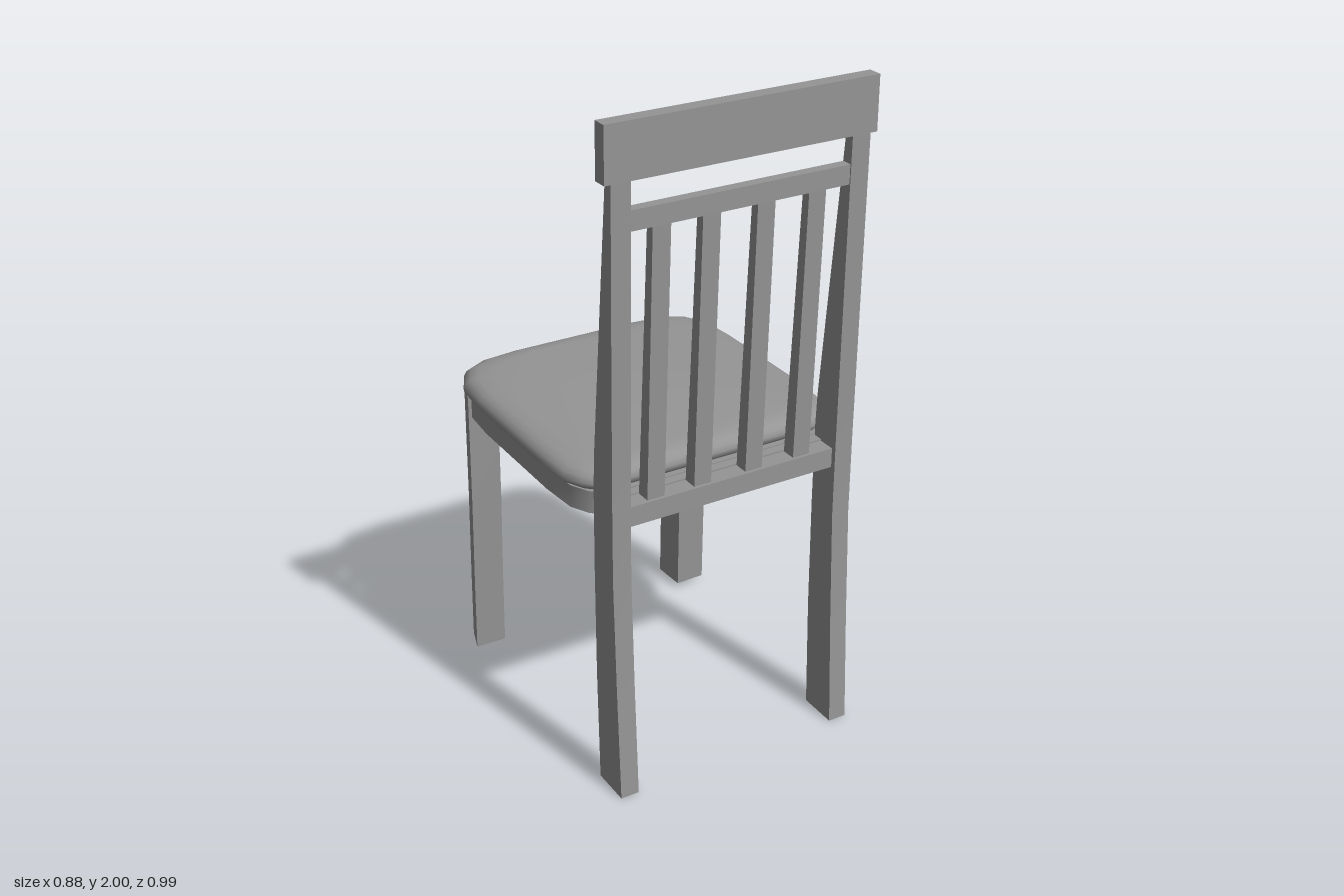
import * as THREE from 'three';
import { toCreasedNormals } from 'three/addons/utils/BufferGeometryUtils.js';

const material = new THREE.MeshStandardMaterial({ color: 0x959595 });

// Solid through horizontal convex sections [{ y, pts: [[x, z], ...] }], listed from the bottom up
function loft(sections, crease = 0.4) {
  const n = sections[0].pts.length;
  const pos = [], idx = [];
  for (const { y, pts } of sections) {
    const area = pts.reduce((s, p, i) => {
      const q = pts[(i + 1) % n];
      return s + p[0] * q[1] - q[0] * p[1];
    }, 0);
    const ring = area > 0 ? [...pts].reverse() : pts;
    for (const [x, z] of ring) pos.push(x, y, z);
  }
  for (let k = 0; k < sections.length - 1; k++) {
    for (let i = 0; i < n; i++) {
      const a = k * n + i, b = k * n + (i + 1) % n;
      idx.push(a, b, b + n, a, b + n, a + n);
    }
  }
  const top = (sections.length - 1) * n;
  for (let i = 1; i < n - 1; i++) {
    idx.push(0, i + 1, i);
    idx.push(top, top + i, top + i + 1);
  }
  const geo = new THREE.BufferGeometry();
  geo.setAttribute('position', new THREE.Float32BufferAttribute(pos, 3));
  geo.setIndex(idx);
  return toCreasedNormals(geo, crease);
}

const rect = (x0, x1, z0, z1) => [[x0, z0], [x1, z0], [x1, z1], [x0, z1]];

export function createModel() {
  const group = new THREE.Group();
  const add = (name, geo) => {
    const mesh = new THREE.Mesh(geo, material);
    mesh.name = name;
    group.add(mesh);
  };
  const bar = (name, x0, x1, y0, y1, z0, z1) => {
    const geo = new THREE.BoxGeometry(x1 - x0, y1 - y0, z1 - z0);
    add(name, geo.translate((x0 + x1) / 2, (y0 + y1) / 2, (z0 + z1) / 2));
  };

  // Rounded square seat outline, mirrored across x
  const half = [[0.21, -0.495], [0.33, -0.482], [0.39, -0.45], [0.43, -0.37], [0.44, -0.25],
    [0.44, 0.13], [0.43, 0.255], [0.402, 0.312], [0.375, 0.338], [0.33, 0.353]];
  const outline = [...half, ...half.map(([x, z]) => [-x, z]).reverse()];
  const zMid = -0.071;
  const inset = (d) => outline.map(([x, z]) =>
    [x * (1 - d / 0.44), zMid + (z - zMid) * (1 - d / 0.424)]);

  // Cushion with a bullnose edge
  const cushion = [[0.914, 0.03], [0.921, 0.012], [0.932, 0.002], [0.945, 0],
    [0.96, 0.006], [0.972, 0.018], [0.98, 0.036], [0.985, 0.075]];
  add('cushion', loft(cushion.map(([y, d]) => ({ y, pts: inset(d) })), 0.9));

  // Seat frame under the cushion, reaching back to the posts
  const frame = inset(0.018).map(([x, z]) => [x, z > 0 ? z + 0.021 : z]);
  add('seatFrame', loft([0.85, 0.918].map((y) => ({ y, pts: frame })), 0.6));

  for (const s of [1, -1]) {
    const side = s > 0 ? 'left' : 'right';

    // Back posts: splayed foot, then tapering toward the top; [y, front z, back z]
    const post = [[0, 0.37, 0.492], [0.35, 0.358, 0.472], [0.7, 0.354, 0.456], [0.95, 0.355, 0.456],
      [1.05, 0.36, 0.457], [1.4, 0.393, 0.46], [1.85, 0.436, 0.465]];
    add(side + 'BackPost', loft(post.map(([y, z0, z1]) =>
      ({ y, pts: rect(s * 0.333, s * 0.39, z0, z1) })), 0.2));

    // Seat-end legs: chamfered outer corner, curving outward at the foot; [y, z shift]
    const foot = [[0.32, -0.465], [0.385, -0.457], [0.397, -0.438], [0.422, -0.36], [0.325, -0.357]];
    const sweep = [[0.018, -0.02], [0.25, -0.015], [0.55, -0.005], [0.916, 0]];
    add(side + 'SeatLeg', loft(sweep.map(([y, dz]) =>
      ({ y, pts: foot.map(([x, z]) => [s * x, z + dz]) })), 0.2));
  }

  // Horizontal rails of the backrest
  bar('topRail', -0.413, 0.404, 1.845, 2, 0.43, 0.474);
  bar('crossRail', -0.34, 0.34, 1.707, 1.763, 0.428, 0.46);
  bar('lowerRail', -0.34, 0.34, 0.85, 0.91, 0.385, 0.44);
  bar('seatBackStrip', -0.335, 0.335, 0.85, 0.915, 0.34, 0.385);

  // Leaning slats
  [-0.24, -0.092, 0.074, 0.233].forEach((x, i) => {
    add('slat' + (i + 1), loft([
      { y: 0.905, pts: rect(x - 0.027, x + 0.027, 0.385, 0.43) },
      { y: 1.715, pts: rect(x - 0.027, x + 0.027, 0.43, 0.458) },
    ]));
  });

  return group;
}
